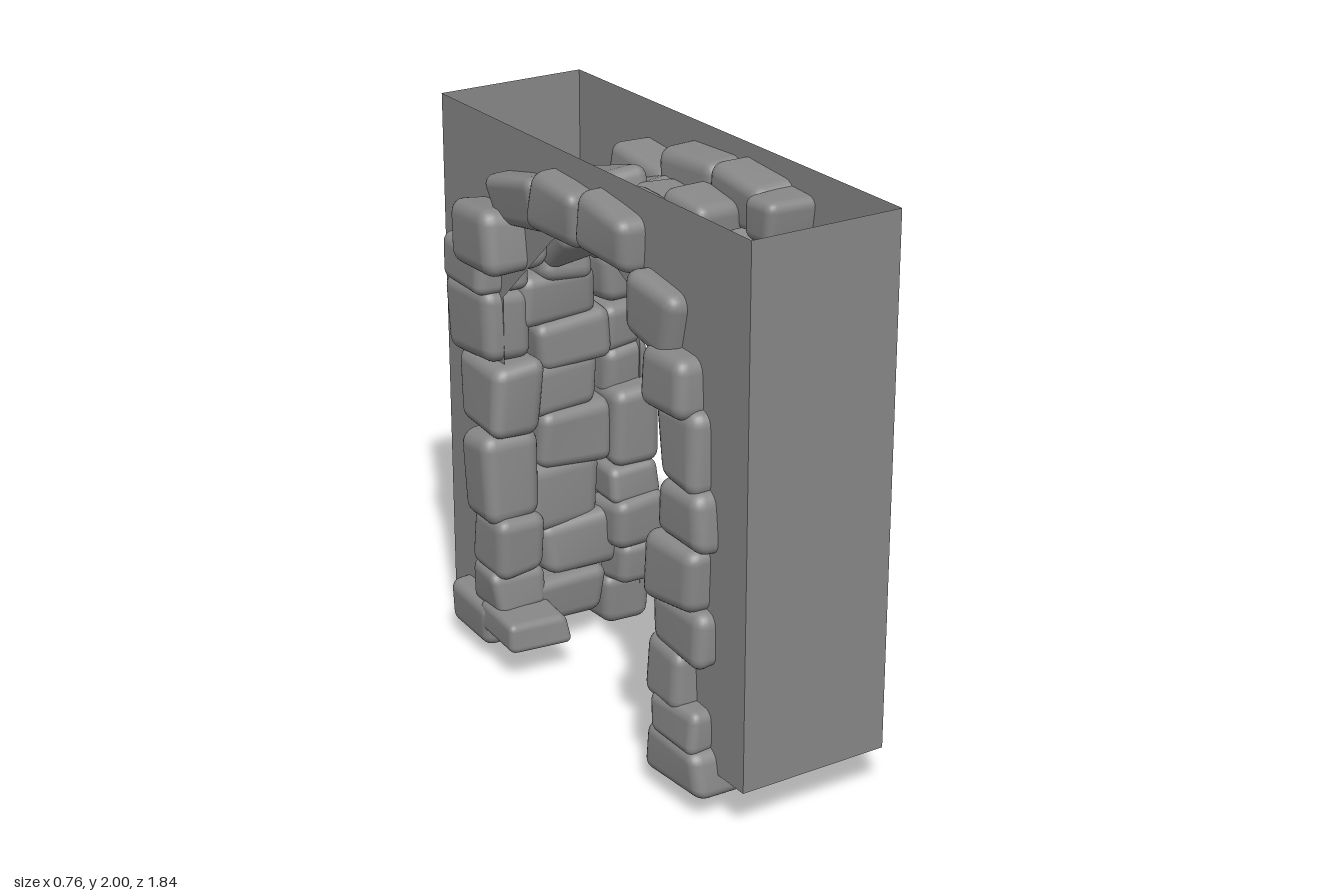
import * as THREE from 'three';
import { mergeVertices } from 'three/addons/utils/BufferGeometryUtils.js';
import { RoundedBoxGeometry } from 'three/addons/geometries/RoundedBoxGeometry.js';

const grey = new THREE.MeshStandardMaterial({ color: 0x888888, side: THREE.DoubleSide });
grey.name = 'stone grey';

let seed = 7;
const rand = () => {
  seed = (seed * 16807) % 2147483647;
  return seed / 2147483647 * 2 - 1;
};

// Rounded block whose eight corners are pushed about for a hewn look
function stone(name, x0, x1, y0, y1, z0, z1, tilt = 0) {
  const size = [x1 - x0 + 0.014, y1 - y0 + 0.018, z1 - z0 + 0.018];
  const small = Math.min(...size);
  let geo = new RoundedBoxGeometry(...size, 3, small * 0.24);
  geo.deleteAttribute('uv');
  geo.deleteAttribute('normal');
  geo = mergeVertices(geo, 1e-4);
  const shift = Array.from({ length: 8 }, () => size.map(s => rand() * 0.09 * Math.min(s, 0.22)));
  const p = geo.attributes.position;
  for (let i = 0; i < p.count; i++) {
    const v = [p.getX(i), p.getY(i), p.getZ(i)];
    const t = v.map((c, k) => c / size[k] + 0.5);
    const out = [...v];
    shift.forEach((s, c) => {
      const w = (c & 1 ? t[0] : 1 - t[0]) * (c & 2 ? t[1] : 1 - t[1]) * (c & 4 ? t[2] : 1 - t[2]);
      for (let k = 0; k < 3; k++) out[k] += s[k] * w;
    });
    p.setXYZ(i, ...out);
  }
  geo.computeVertexNormals();
  const mesh = new THREE.Mesh(geo, grey);
  mesh.name = name;
  mesh.position.set((x0 + x1) / 2, (y0 + y1) / 2, (z0 + z1) / 2);
  mesh.rotation.x = tilt;
  return mesh;
}

// Arch stones on each face: z0, z1, y0, y1, tilt
const leftRing = [
  [0.45, 0.78, 0.08, 0.26], [0.51, 0.77, 0.26, 0.37], [0.48, 0.62, 0.36, 0.52],
  [0.46, 0.71, 0.51, 0.72], [0.52, 0.79, 0.71, 0.97], [0.53, 0.74, 0.97, 1.2],
  [0.52, 0.7, 1.2, 1.4], [0.38, 0.69, 1.39, 1.54, 0.1], [0.32, 0.55, 1.54, 1.78, -0.05],
  [0.34, 0.47, 1.78, 1.9], [0.07, 0.35, 1.75, 1.93, 0.05], [-0.22, 0.07, 1.75, 1.92, -0.1],
  [-0.5, -0.21, 1.71, 1.84, 0.06], [-0.52, -0.37, 1.5, 1.69], [-0.76, -0.53, 1.46, 1.66],
  [-0.85, -0.52, 1.27, 1.45], [-0.8, -0.54, 1.09, 1.26], [-0.79, -0.55, 0.9, 1.09],
  [-0.65, -0.47, 0.67, 0.95], [-0.62, -0.46, 0.54, 0.67], [-0.61, -0.43, 0.36, 0.54],
  [-0.6, -0.45, 0.21, 0.36], [-0.78, -0.54, 0.02, 0.21],
];
const rightRing = [
  [0.48, 0.77, 0.08, 0.24], [0.5, 0.72, 0.24, 0.36], [0.45, 0.64, 0.35, 0.54],
  [0.49, 0.74, 0.54, 0.71], [0.48, 0.72, 0.71, 0.92], [0.53, 0.76, 0.93, 1.12],
  [0.52, 0.72, 1.12, 1.37], [0.46, 0.68, 1.37, 1.54], [0.33, 0.56, 1.53, 1.74, 0.2],
  [0.07, 0.35, 1.74, 1.91, 0.12], [-0.21, 0.06, 1.74, 1.91], [-0.5, -0.2, 1.69, 1.86, -0.2],
  [-0.67, -0.39, 1.51, 1.71, -0.1], [-0.82, -0.55, 1.39, 1.53], [-0.82, -0.54, 1.14, 1.39],
  [-0.76, -0.49, 0.87, 1.13], [-0.7, -0.5, 0.57, 0.86],
  [-0.66, -0.47, 0.36, 0.56], [-0.68, -0.48, 0.22, 0.36], [-0.6, -0.35, 0.13, 0.22],
  [-0.83, -0.56, 0.07, 0.22],
];

// Lining stones over the curve: x0, x1, then as above
const vault = [
  [-0.13, 0.02, 0.37, 0.55, 1.42, 1.63, 0.6], [0.01, 0.18, 0.38, 0.57, 1.4, 1.6, 0.6],
  [-0.13, 0.01, 0.19, 0.41, 1.61, 1.78, 0.4], [0, 0.18, 0.24, 0.46, 1.58, 1.74, 0.45],
  [0.03, 0.2, 0.04, 0.25, 1.66, 1.86, 0.1], [-0.14, 0.04, -0.12, 0.2, 1.71, 1.83, 0.06],
  [0.03, 0.18, -0.14, 0.05, 1.71, 1.83], [-0.1, 0.08, -0.42, -0.14, 1.7, 1.85, -0.25],
  [0.07, 0.2, -0.4, -0.13, 1.66, 1.79, -0.35], [-0.1, 0.09, -0.57, -0.37, 1.52, 1.69, -0.7],
  [0.07, 0.2, -0.54, -0.35, 1.52, 1.67, -0.7], [-0.08, 0.12, -0.74, -0.54, 1.38, 1.56, -0.2],
];

export function createModel() {
  const model = new THREE.Group();
  model.name = 'stoneArchway';

  // Open-topped wall shell with an arched gap on both broad sides
  const wall = new THREE.Group();
  wall.name = 'wall';
  const outline = [
    [-0.92, 0.16], [-0.53, 0.16], [-0.53, 1.38], [-0.2, 1.68], [-0.1, 1.74], [0.1, 1.74],
    [0.35, 1.62], [0.53, 1.35], [0.53, 0.16], [0.92, 0.16], [0.92, 2], [-0.92, 2],
  ];
  for (const [name, x, side] of [['leftPanel', 0.31, 1], ['rightPanel', -0.24, -1]]) {
    const shape = new THREE.Shape(outline.map(([z, y]) => new THREE.Vector2(-side * z, y)));
    const panel = new THREE.Mesh(new THREE.ShapeGeometry(shape), grey);
    panel.rotation.y = side * Math.PI / 2;
    panel.position.x = x;
    panel.name = name;
    wall.add(panel);
  }
  for (const [name, z, turn] of [['frontPanel', 0.92, 0], ['backPanel', -0.92, Math.PI]]) {
    const panel = new THREE.Mesh(new THREE.PlaneGeometry(0.55, 1.84), grey);
    panel.position.set(0.035, 1.08, z);
    panel.rotation.y = turn;
    panel.name = name;
    wall.add(panel);
  }
  model.add(wall);

  // Face stones
  const stones = new THREE.Group();
  stones.name = 'archStones';
  leftRing.forEach(([z0, z1, y0, y1, tilt]) =>
    stones.add(stone('leftArchStone', 0.165 + rand() * 0.02, 0.355 + rand() * 0.008, y0, y1, z0, z1, tilt)));
  rightRing.forEach(([z0, z1, y0, y1, tilt], i) =>
    stones.add(stone('rightArchStone', i === 12 ? -0.365 : -0.315 + rand() * 0.015, -0.12 + rand() * 0.02, y0, y1, z0, z1, tilt)));

  // Broad lining courses on both jambs, shifted from row to row
  for (const side of [1, -1]) {
    let y = 0.12;
    for (let i = 0; y < 1.36; i++) {
      const top = Math.min(y + 0.19 + 0.04 * rand(), 1.46);
      const near = 0.49 + Math.min(y, 1.2) * 0.035 + 0.012 * rand();
      const far = near + 0.19 + 0.02 * rand();
      const seam = 0.03 * (i % 2 ? 1 : -1);
      stones.add(stone('jambStone', -0.13 + seam, 0.165 + seam, y, top,
        side > 0 ? near : -far, side > 0 ? far : -near));
      y = top;
    }
  }
  vault.forEach(([x0, x1, z0, z1, y0, y1, tilt]) =>
    stones.add(stone('vaultStone', x0, x1, y0, y1, z0, z1, tilt)));
  stones.add(stone('footStone', -0.17, 0.02, 0.17, 0.33, 0.64, 0.88));
  model.add(stones);
  return model;
}
